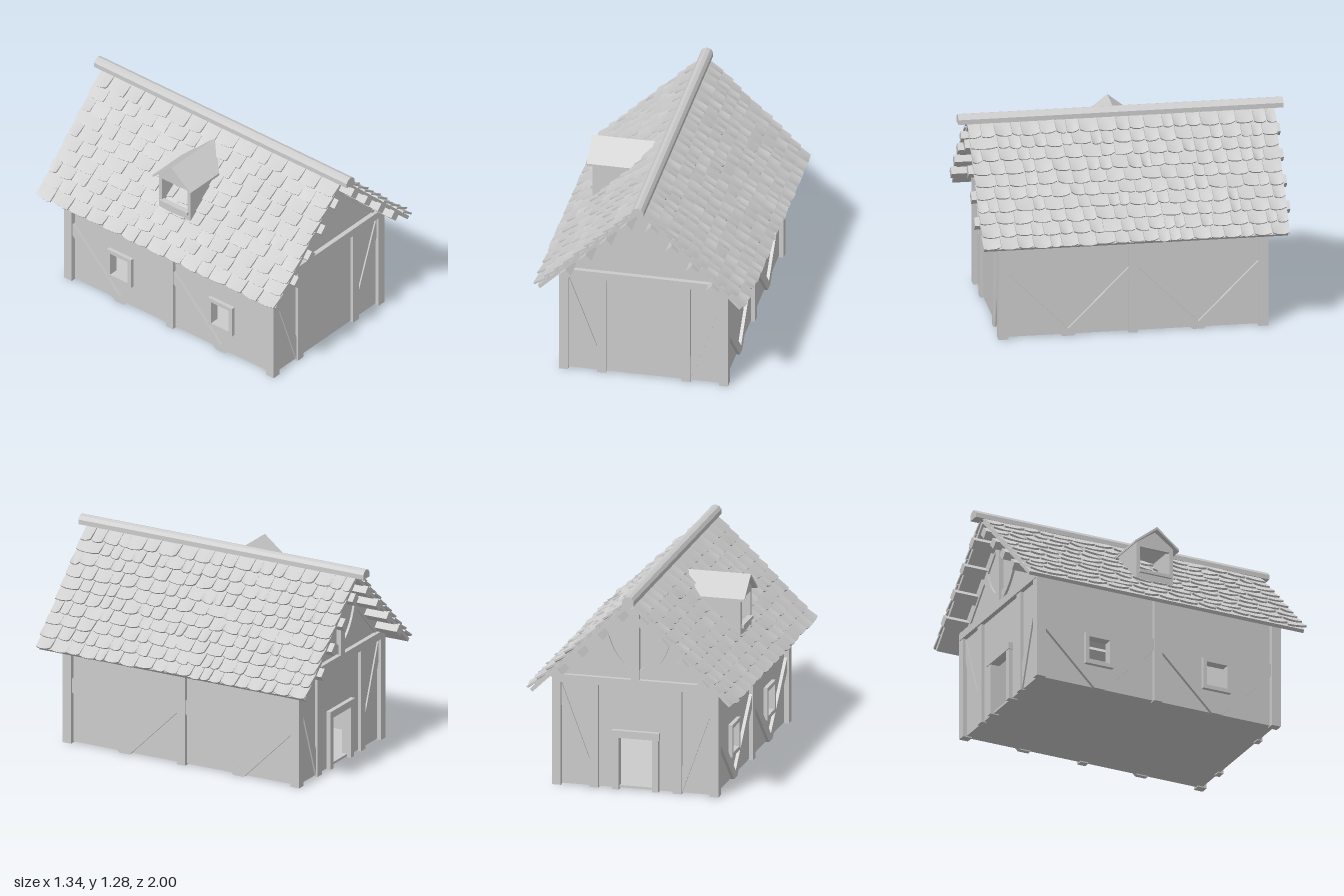
import * as THREE from 'three';
import { mergeGeometries } from 'three/addons/utils/BufferGeometryUtils.js';

const grey = new THREE.MeshStandardMaterial({ color: 0xcccccc });
const ANGLE = Math.atan2(0.6, 0.62); // roof pitch
const APEX = 1.21;                   // underside of the roof at the ridge
const SLOPE = 0.6 / 0.62;

let seed = 7;
const rand = () => (seed = (seed * 16807) % 2147483647) / 2147483647;
const jitter = (a) => (rand() * 2 - 1) * a;

function add(parent, name, geometry) {
  const mesh = new THREE.Mesh(geometry, grey);
  mesh.name = name;
  parent.add(mesh);
  return mesh;
}

// Box given by its limits on each axis
function block(parent, name, x0, x1, y0, y1, z0, z1) {
  const g = new THREE.BoxGeometry(x1 - x0, y1 - y0, z1 - z0);
  g.translate((x0 + x1) / 2, (y0 + y1) / 2, (z0 + z1) / 2);
  return add(parent, name, g);
}

const toPath = (pts, Type = THREE.Shape) => new Type(pts.map(([x, y]) => new THREE.Vector2(x, y)));
const rect = (x0, x1, y0, y1) => [[x0, y0], [x1, y0], [x1, y1], [x0, y1]];

function extrude(pts, depth, holes = []) {
  const shape = toPath(pts);
  holes.forEach((h) => shape.holes.push(toPath(h, THREE.Path)));
  return new THREE.ExtrudeGeometry(shape, { depth, bevelEnabled: false });
}

// Plate in the x-y plane, starting at z0
const plateZ = (parent, name, pts, z0, depth, holes) =>
  add(parent, name, extrude(pts, depth, holes).translate(0, 0, z0));

// Plate in the z-y plane, from x0 to x0 + depth
const plateX = (parent, name, pts, x0, depth, holes) =>
  add(parent, name, extrude(pts, depth, holes).rotateY(-Math.PI / 2).translate(x0 + depth, 0, 0));

// One slightly warped roof tile; x runs down the slope, y is outward
function tile(length, width, curl) {
  const g = new THREE.BoxGeometry(length, 0.012, width, 3, 1, 4);
  const p = g.attributes.position;
  const skew = jitter(0.006), twist = jitter(0.006);
  for (let i = 0; i < p.count; i++) {
    const down = p.getX(i) / length + 0.5;
    const side = (p.getZ(i) / width) * 2;
    p.setX(i, p.getX(i) + down * (skew * side - 0.006 * side ** 4));
    p.setY(i, p.getY(i) + down * (twist * side + curl * side * side) + down * 0.014);
    p.setZ(i, p.getZ(i) * (1 - 0.06 * down * down));
  }
  g.computeVertexNormals();
  return g;
}

// One slope: boarding, overlapping tiles and purlins
function roofSlope(name, curl, minWidth) {
  const slope = new THREE.Group();
  slope.name = name;
  block(slope, 'roofBoarding', 0, 0.862, 0, 0.022, -0.935, 0.935);
  const tiles = [];
  for (let row = 0; row < 10; row++) {
    for (let z = -0.945; z < 0.94;) {
      let w = minWidth + rand() * 0.06;
      if (0.945 - z - w < 0.06) w = 0.945 - z;
      const length = 0.11 + jitter(0.005);
      tiles.push(tile(length, w - 0.002, curl * (0.3 + rand()))
        .translate(row * 0.085 + length / 2, 0.027 + jitter(0.0015), z + w / 2));
      z += w;
    }
  }
  add(slope, 'roofTiles', mergeGeometries(tiles));
  for (let i = 0; i < 4; i++) {
    const s = 0.13 + i * 0.176;
    block(slope, 'purlin', s - 0.03, s + 0.03, -0.045, 0.005, -0.97, 0.97);
  }
  slope.position.y = APEX;
  slope.rotation.z = -ANGLE;
  return slope;
}

// Timber framing of a gable end, built for +z
function gableFrame(name) {
  const g = new THREE.Group();
  g.name = name;
  block(g, 'tieBeam', -0.51, 0.51, 0.655, 0.705, 0.78, 0.835);
  for (const s of [-1, 1]) {
    const m = (pts) => pts.map(([x, y]) => [x * s, y]);
    plateZ(g, 'innerPost', m(rect(0.235, 0.29, 0, 0.655)), 0.79, 0.035);
    plateZ(g, 'gableBrace', m([[0.29, 0.005], [0.47, 0.51], [0.47, 0.65], [0.29, 0.17]]), 0.79, 0.025);
    plateZ(g, 'gableRafter', m([[0.43, 0.705], [0.515, 0.712], [0, APEX], [0, 1.135]]), 0.79, 0.025);
  }
  return g;
}

// Small dormer on the -x slope
function dormer() {
  const g = new THREE.Group();
  g.name = 'dormer';
  // front wall with opening, and its frame
  plateX(g, 'dormerFront', [[-0.125, 0.8], [0.125, 0.8], [0.125, 1.06], [0, 1.15], [-0.125, 1.06]], -0.47, 0.02,
    [rect(-0.1, 0.1, 0.875, 1.035)]);
  block(g, 'dormerSill', -0.485, -0.45, 0.86, 0.88, -0.11, 0.11);
  for (const s of [-1, 1]) {
    plateZ(g, 'dormerCheek', [[-0.465, 0.8], [-0.2, 1.06], [-0.465, 1.06]], s * 0.1175 - 0.0075, 0.015);
  }
  // gabled roof whose far end follows the main slope
  const roof = extrude([[-0.15, 1.04], [0, 1.16], [0.15, 1.04], [0.15, 1.055], [0, 1.175], [-0.15, 1.055]], 0.3)
    .rotateY(Math.PI / 2).translate(-0.5, 0, 0);
  const p = roof.attributes.position;
  for (let i = 0; i < p.count; i++) {
    if (p.getX(i) > -0.3) p.setX(i, -(1.265 - p.getY(i)) / SLOPE);
  }
  roof.computeVertexNormals();
  add(g, 'dormerRoof', roof);
  return g;
}

export function createModel() {
  const house = new THREE.Group();
  house.name = 'timberHouse';

  // Floor and walls
  block(house, 'floor', -0.495, 0.495, 0.007, 0.022, -0.805, 0.805);
  const gable = [[-0.495, 0.007], [-0.105, 0.007], [0.105, 0.007], [0.495, 0.007], [0.495, 0.73], [0, APEX], [-0.495, 0.73]];
  const gableWithDoor = [...gable];
  gableWithDoor.splice(2, 0, [-0.105, 0.33], [0.105, 0.33]);
  plateZ(house, 'frontWall', gable, 0.775, 0.03);
  plateZ(house, 'backWall', gableWithDoor, -0.805, 0.03);
  const side = rect(-0.78, 0.78, 0.007, 0.73);
  const windows = [-0.4, 0.4].map((z) => rect(z - 0.07, z + 0.07, 0.18, 0.335));
  plateX(house, 'leftWall', side, 0.465, 0.03);
  plateX(house, 'windowWall', side, -0.495, 0.03, windows);

  // Gable framing, front and back
  house.add(gableFrame('frontFrame'));
  const back = gableFrame('backFrame');
  back.rotation.y = Math.PI;
  house.add(back);

  // King post with curved braces on the back gable
  block(back, 'kingPost', -0.025, 0.025, 0.7, 1.16, 0.79, 0.835);
  for (const s of [-1, 1]) {
    const outer = new THREE.QuadraticBezierCurve(new THREE.Vector2(s * 0.02, 0.705), new THREE.Vector2(s * 0.17, 0.78), new THREE.Vector2(s * 0.215, 0.945));
    const inner = new THREE.QuadraticBezierCurve(new THREE.Vector2(s * 0.175, 0.985), new THREE.Vector2(s * 0.13, 0.82), new THREE.Vector2(s * 0.02, 0.765));
    const pts = [...outer.getPoints(8), ...inner.getPoints(8)].map((v) => [v.x, v.y]);
    plateZ(back, 'curvedBrace', pts, 0.79, 0.03);
  }

  // Door frame
  for (const s of [-1, 1]) {
    plateZ(back, 'doorPost', rect(0.105, 0.145, 0, 0.33).map(([x, y]) => [x * s, y]), 0.77, 0.06);
  }
  block(back, 'doorLintel', -0.15, 0.15, 0.33, 0.375, 0.77, 0.835);

  // Side posts and V braces
  for (const s of [-1, 1]) {
    const x0 = s > 0 ? 0.485 : -0.515;
    for (const e of [-1, 1]) {
      const post = add(house, 'cornerPost', new THREE.BoxGeometry(0.055, 0.7, 0.06));
      post.position.set(s * 0.4975, 0.35, e * 0.8);
      for (const d of [-1, 1]) {
        const pts = [[0, 0], [0.035, 0], [0.372, 0.335], [0.372, 0.42], [0, 0.045]].map(([z, y]) => [e * 0.4 + d * z, y]);
        plateX(house, 'sideBrace', pts, x0, 0.03);
      }
    }
    const mid = add(house, 'middlePost', new THREE.BoxGeometry(0.045, 0.7, 0.055));
    mid.position.set(s * 0.4975, 0.35, 0);
  }

  // Window frames
  for (const z of [-0.4, 0.4]) {
    plateX(house, 'windowFrame', rect(z - 0.095, z + 0.095, 0.155, 0.36), -0.52, 0.06, [rect(z - 0.07, z + 0.07, 0.18, 0.335)]);
  }

  // Roof
  house.add(roofSlope('leftRoof', 0.009, 0.06));
  const rightRoof = new THREE.Group();
  rightRoof.name = 'rightRoof';
  rightRoof.rotation.y = Math.PI;
  rightRoof.add(roofSlope('rightSlope', 0.003, 0.09));
  house.add(rightRoof, dormer());
  plateZ(house, 'ridgeBeam', [[-0.037, 1.225], [0.037, 1.225], [0.037, 1.255], [0.022, 1.275], [0, 1.282], [-0.022, 1.275], [-0.037, 1.255]], -1, 2);

  return house;
}
